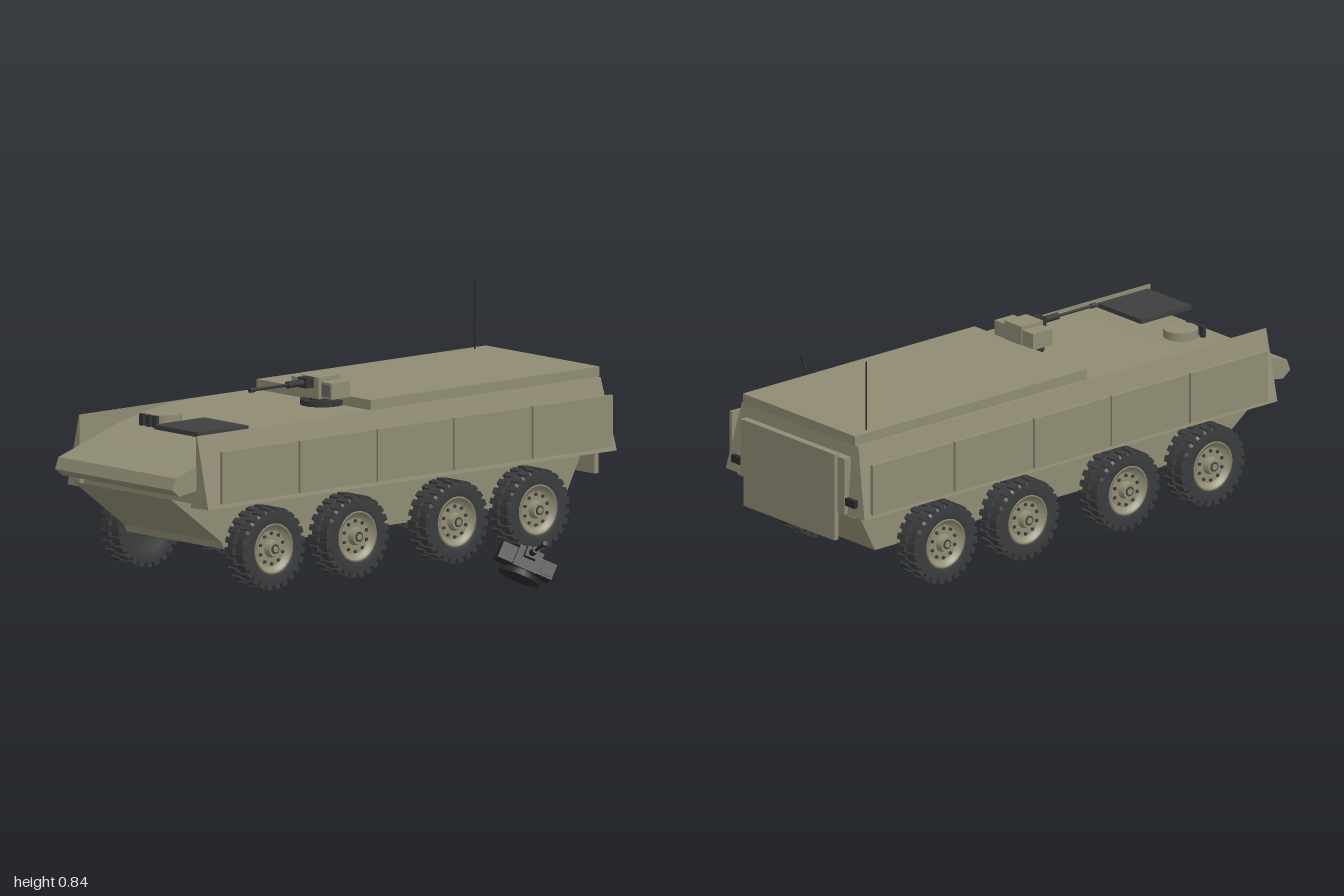
import * as THREE from 'three';
import { toCreasedNormals } from 'three/addons/utils/BufferGeometryUtils.js';

const material = (name, color, double) => {
  const m = new THREE.MeshStandardMaterial({ color });
  m.name = name;
  if (double) m.side = THREE.DoubleSide;
  return m;
};
const paint = material('olive paint', 0x8f8b73);
const rubber = material('tyre rubber', 0x3a3b3c);
const darkGrey = material('dark grey', 0x3e3e3f);
const gunMetal = material('gun metal', 0x333436);
const black = material('burnt black', 0x29292a);
const lens = material('lens grey', 0x66676a);

function add(parent, name, geometry, mat, x = 0, y = 0, z = 0) {
  const mesh = new THREE.Mesh(geometry, mat);
  mesh.name = name;
  mesh.position.set(x, y, z);
  parent.add(mesh);
  return mesh;
}
const box = (w, h, d) => new THREE.BoxGeometry(w, h, d);
const disc = (r, h, n = 24, r2 = r) => new THREE.CylinderGeometry(r, r2, h, n);
const rod = (r, l, n = 10) => disc(r, l, n).rotateX(Math.PI / 2); // along z
const axleRod = (r, l, n = 24, r2 = r) => disc(r, l, n, r2).rotateZ(-Math.PI / 2); // along x

// Side profile given as (z, y), extruded across the width
function acrossWidth(shape, width) {
  const g = new THREE.ExtrudeGeometry(shape, { depth: width, bevelEnabled: false, curveSegments: 14 });
  g.translate(0, 0, -width / 2).rotateY(-Math.PI / 2);
  return toCreasedNormals(g, 0.35);
}
const polygon = (pts) => new THREE.Shape(pts.map(([a, b]) => new THREE.Vector2(a, b)));

function addHull(parent) {
  // Upper hull with curved glacis and undercut nose
  const upper = new THREE.Shape();
  upper.moveTo(-0.95, 0.555);
  upper.lineTo(0.35, 0.555);
  upper.quadraticCurveTo(0.62, 0.555, 0.89, 0.45);
  [[0.985, 0.42], [1, 0.38], [0.968, 0.355], [0.87, 0.37], [0.87, 0.3], [-0.972, 0.3]]
    .forEach(([z, y]) => upper.lineTo(z, y));
  add(parent, 'upperHull', acrossWidth(upper, 0.6), paint);

  const lower = polygon([[0.962, 0.338], [0.73, 0.165], [0.72, 0.14], [-0.83, 0.14],
    [-0.915, 0.305], [0.87, 0.315]]);
  add(parent, 'lowerHull', acrossWidth(lower, 0.5), paint);

  add(parent, 'raisedRoof', box(0.582, 0.035, 1.045), paint, 0, 0.5725, -0.4325);

  for (const s of [-1, 1]) {
    // Sloping sponson with raked rear end
    const g = new THREE.ExtrudeGeometry(
      polygon([[s * 0.298, 0.555], [s * 0.302, 0.555], [s * 0.36, 0.307], [s * 0.298, 0.307]]),
      { depth: 1.84, bevelEnabled: false });
    g.translate(0, 0, -0.95);
    const p = g.attributes.position;
    for (let i = 0; i < p.count; i++) {
      if (p.getZ(i) < 0) p.setZ(i, p.getZ(i) - (0.555 - p.getY(i)) * 0.09);
    }
    g.computeVertexNormals();
    add(parent, 'sponson', g, paint);

    // Armour panels along the side
    const edges = [0.84, 0.485, 0.13, -0.218, -0.577, -0.948];
    for (let i = 0; i < 5; i++) {
      add(parent, 'sidePanel', box(0.013, 0.18, edges[i] - edges[i + 1] - 0.008), paint,
        s * 0.3655, 0.413, (edges[i] + edges[i + 1]) / 2);
    }
    for (const y of [0.36, 0.46]) {
      add(parent, 'panelMount', box(0.07, 0.012, 1.6), paint, s * 0.327, y, -0.06);
    }
    add(parent, 'tailLight', box(0.05, 0.026, 0.016), black, s * 0.295, 0.355, -0.975);
    add(parent, 'noseLight', rod(0.007, 0.012), lens, s * 0.267, 0.363, 0.965);
  }

  // Rear ramp
  add(parent, 'rearRamp', box(0.47, 0.31, 0.018), paint, 0, 0.365, -0.991);
  add(parent, 'rampFrame', box(0.54, 0.2, 0.03), paint, 0, 0.41, -0.97);
}

function addRoofDetails(parent) {
  add(parent, 'engineCover', box(0.226, 0.016, 0.227), darkGrey, 0.15, 0.55, 0.734);
  add(parent, 'driverHatch', disc(0.06, 0.03), paint, -0.117, 0.545, 0.665);
  for (let i = -1; i <= 1; i++) {
    add(parent, 'periscope', box(0.02, 0.04, 0.014), gunMetal, -0.117 + i * 0.034, 0.54, 0.735);
  }
  add(parent, 'antenna', disc(0.003, 0.27, 6), black, -0.263, 0.7, -0.88);
}

function makeWheel() {
  const wheel = new THREE.Group();
  wheel.name = 'wheel';
  // Tyre with a central groove; the outer face points to +x
  const profile = [[0, -0.042], [0.085, -0.042], [0.1, -0.049], [0.128, -0.046], [0.136, -0.036],
    [0.136, -0.005], [0.127, -0.003], [0.127, 0.003], [0.136, 0.005], [0.136, 0.036],
    [0.128, 0.046], [0.1, 0.049], [0.088, 0.046], [0.082, 0.025], [0, 0.025]]
    .map(([r, a]) => new THREE.Vector2(r, a));
  const tyre = toCreasedNormals(new THREE.LatheGeometry(profile, 32), 0.6).rotateZ(-Math.PI / 2);
  add(wheel, 'tyre', tyre, rubber);
  for (let i = 0; i < 24; i++) {
    for (const s of [-1, 1]) {
      const a = (i + (s > 0 ? 0.5 : 0)) / 24 * Math.PI * 2;
      const lug = add(wheel, 'treadLug', box(0.041, 0.016, 0.021), rubber,
        s * 0.0265, Math.cos(a) * 0.134, Math.sin(a) * 0.134);
      lug.rotation.x = a;
    }
  }
  // Rim, hub and bolts
  const rim = [[0.056, 0.024], [0.062, 0.03], [0.078, 0.034], [0.08, 0.047], [0.088, 0.047], [0.088, 0.03]]
    .map(([r, a]) => new THREE.Vector2(r, a));
  const rimGeo = new THREE.LatheGeometry(rim, 28).rotateZ(-Math.PI / 2);
  add(wheel, 'rim', rimGeo, rimPaint);
  add(wheel, 'rimDisc', axleRod(0.062, 0.012), paint, 0.026);
  add(wheel, 'hub', axleRod(0.026, 0.026, 16, 0.033), paint, 0.04);
  add(wheel, 'hubRing', axleRod(0.017, 0.004, 16), darkGrey, 0.0535);
  add(wheel, 'hubCap', axleRod(0.011, 0.006, 12), paint, 0.055);
  for (let i = 0; i < 10; i++) {
    const a = i / 10 * Math.PI * 2;
    add(wheel, 'wheelBolt', axleRod(0.006, 0.008, 6), darkGrey, 0.034, Math.cos(a) * 0.053, Math.sin(a) * 0.053);
  }
  return wheel;
}
const rimPaint = material('rim paint', 0x8f8b73, true);

function addRunningGear(parent) {
  for (const z of [0.595, 0.213, -0.24, -0.61]) {
    add(parent, 'axle', axleRod(0.013, 0.58, 10), gunMetal, 0, 0.142, z);
    for (const s of [-1, 1]) {
      const wheel = makeWheel();
      wheel.position.set(s * 0.318, 0.142, z);
      if (s < 0) wheel.rotation.y = Math.PI;
      parent.add(wheel);
    }
  }
}

// Weapon station, origin at the base of its ring, gun along +z
function makeTurret(name, skin, dark, glass) {
  const t = new THREE.Group();
  t.name = name;
  add(t, 'turretRing', disc(0.075, 0.018, 28), dark, 0, 0.009, 0);
  add(t, 'turretNeck', disc(0.045, 0.015, 20), dark, 0, 0.024, 0);
  add(t, 'turretBody', box(0.088, 0.075, 0.098), skin, 0, 0.0645, 0.006);
  add(t, 'ammoBox', box(0.055, 0.058, 0.088), skin, -0.073, 0.06, 0.005);
  add(t, 'sightBox', box(0.055, 0.056, 0.084), skin, 0.073, 0.059, 0.003);
  add(t, 'sightWindow', box(0.04, 0.042, 0.006), glass, 0.075, 0.06, 0.046);
  add(t, 'mantlet', box(0.042, 0.036, 0.04), dark, 0, 0.083, 0.07);
  add(t, 'barrelSleeve', rod(0.012, 0.08), dark, 0, 0.083, 0.12);
  add(t, 'barrel', rod(0.0055, 0.18, 8), dark, 0, 0.083, 0.235);
  add(t, 'muzzle', rod(0.0085, 0.022, 8), dark, 0, 0.083, 0.319);
  return t;
}

export function createModel() {
  const model = new THREE.Group();
  model.name = 'armouredCarrier';

  const vehicle = new THREE.Group();
  vehicle.name = 'vehicle';
  vehicle.position.x = -0.43;
  addHull(vehicle);
  addRoofDetails(vehicle);
  addRunningGear(vehicle);
  const turret = makeTurret('turret', paint, gunMetal, lens);
  turret.position.set(0.083, 0.555, 0.125);
  vehicle.add(turret);
  model.add(vehicle);

  // Burnt weapon station lying tilted beside the vehicle
  const wreck = makeTurret('detachedTurret', black, black, black);
  const forward = new THREE.Vector3(0.82, 0.29, 0.49).normalize();
  const side = new THREE.Vector3(0, 0.86, -0.5).cross(forward).normalize();
  const up = forward.clone().cross(side);
  wreck.quaternion.setFromRotationMatrix(new THREE.Matrix4().makeBasis(side, up, forward));
  wreck.position.set(0.53, 0.05, 0.01);
  model.add(wreck);
  return model;
}
